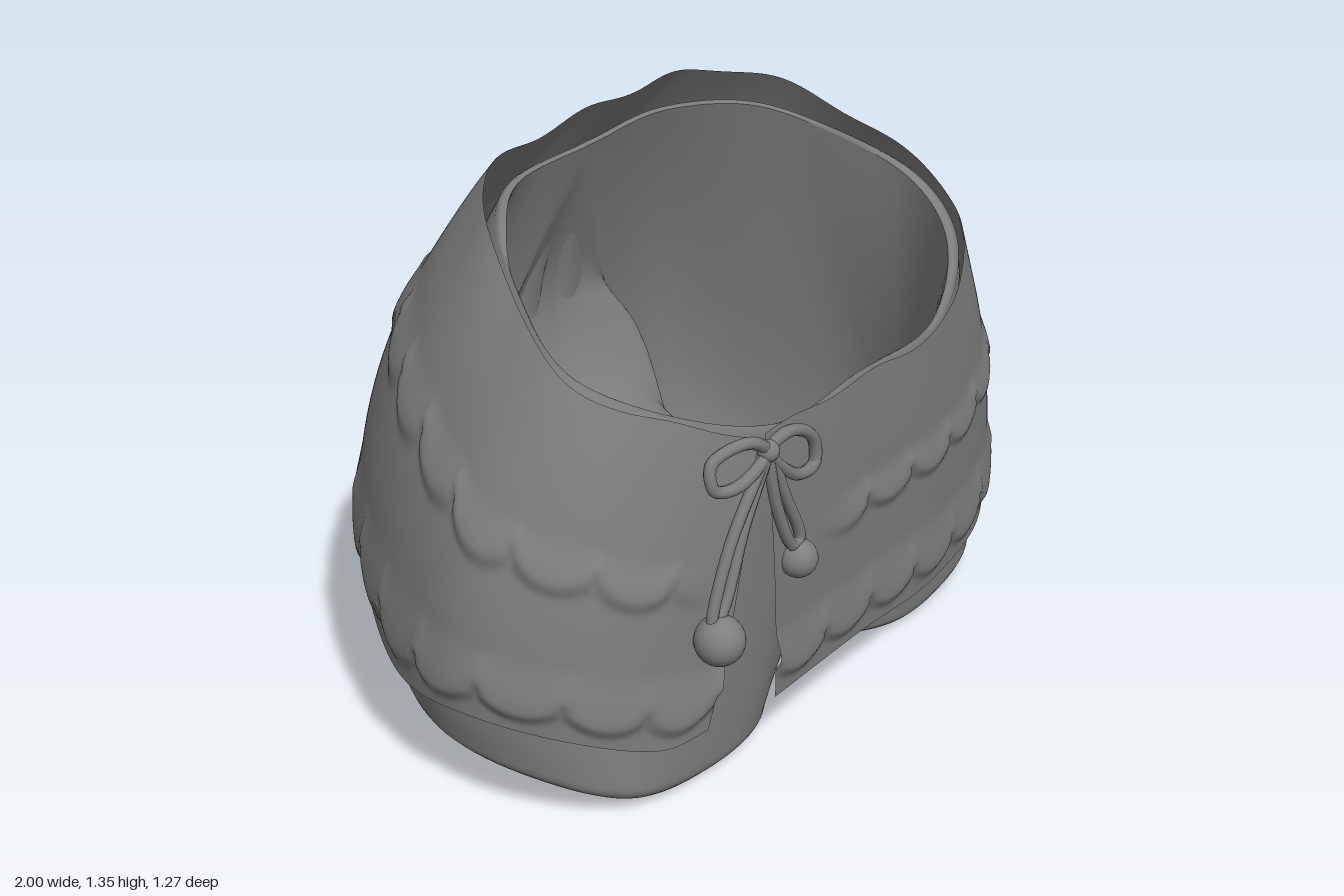
import * as THREE from 'three';

const V = (a) => new THREE.Vector3(...a);
const step = THREE.MathUtils.smoothstep;
const material = new THREE.MeshStandardMaterial({ color: 0x7e7e7e, side: THREE.DoubleSide });

function mesh(geometry, name) {
  const m = new THREE.Mesh(geometry, material);
  m.name = name;
  return m;
}

// Smooth sheet from rows of points; closed joins the last column to the first
function sheet(rows, closed) {
  const n = rows[0].length, index = [];
  for (let j = 0; j < rows.length - 1; j++) {
    for (let i = 0; i < (closed ? n : n - 1); i++) {
      const k = (i + 1) % n, a = j * n, b = a + n;
      index.push(a + i, a + k, b + i, a + k, b + k, b + i);
    }
  }
  const g = new THREE.BufferGeometry().setFromPoints(rows.flat());
  g.setIndex(index);
  g.computeVertexNormals();
  return g;
}

// Quadratic through three points, at t = 0, 0.5 and 1
function through(a, b, c, t) {
  return new THREE.Vector3()
    .addScaledVector(a, 2 * (t - 0.5) * (t - 1))
    .addScaledVector(b, -4 * t * (t - 1))
    .addScaledVector(c, 2 * t * (t - 0.5));
}

// Skirt: hem, middle and rim rings, left half from front centre to back centre
const HEM = [[0, .165, .555], [.38, .15, .55], [.7, .175, .49], [.88, .24, .365], [.98, .285, .14],
  [.915, .265, -.105], [.72, .325, -.375], [.505, .36, -.565], [.3, .37, -.62], [0, .39, -.595]];
const MID = [[0, .53, .575], [.4, .53, .565], [.73, .57, .47], [.87, .62, .35], [.94, .66, .15],
  [.87, .74, -.06], [.71, .81, -.3], [.475, .86, -.485], [.25, .87, -.52], [0, .87, -.505]];
const RIM = [[0, .88, .575], [.33, .875, .565], [.6, .95, .465], [.71, 1.01, .37], [.76, 1.07, .25],
  [.675, 1.205, .05], [.565, 1.295, -.105], [.4, 1.335, -.22], [.2, 1.34, -.24], [0, 1.35, -.24]];

function skirtRing(half, slitStart, slitEnd) {
  const right = half.slice(2, -1).reverse().map(([x, y, z]) => [-x, y, z]);
  const c = new THREE.CatmullRomCurve3([slitStart, ...half, ...right, slitEnd].map(V));
  c.arcLengthDivisions = 400;
  return c;
}

function makeSkirt() {
  const NU = 300, NV = 90;
  const rings = [
    skirtRing(HEM, [-.35, .165, .555], [-.58, .18, .525]),
    skirtRing(MID, [-.385, .53, .57], [-.5, .53, .55]),
    skirtRing(RIM, [-.41, .88, .555], [-.43, .88, .55]),
  ].map((c) => c.getSpacedPoints(NU));
  const rows = [];
  for (let j = 0; j <= NV; j++) {
    const v = j / NV;
    rows.push(rings[0].map((p, i) => {
      const q = through(p, rings[1][i], rings[2][i], v);
      // gently waved rim
      q.y += step(v, .8, 1) * .006 * Math.sin(i / NU * 75);
      return q;
    }));
  }
  const g = sheet(rows, false);

  // Two soft lace bands with rounded scallops along their lower edges
  const pos = g.attributes.position, nor = g.attributes.normal;
  for (let j = 0; j <= NV; j++) {
    for (let i = 0; i <= NU; i++) {
      const v = j / NV, u = i / NU, k = j * (NU + 1) + i;
      const scallop = Math.sqrt(Math.abs(Math.sin(u * Math.PI * 25)));
      const back = (.57 - rings[1][i].z) / 1.07;
      const band = (low, top) => step(v, low, low + .055) * (1 - step(v, low + .05, top));
      const upper = .6 + .12 * back;
      const d = .014 * band(upper - .09 - .075 * scallop, upper + .02) * step(u, .03, .08) * (1 - step(u, .95, .99))
        + .016 * band(.1 - .075 * scallop, .27);
      pos.setXYZ(k, pos.getX(k) + nor.getX(k) * d, pos.getY(k) + nor.getY(k) * d, pos.getZ(k) + nor.getZ(k) * d);
    }
  }
  g.computeVertexNormals();
  return mesh(g, 'skirt');
}

// Shorts: left half rings; the waist ring closes along the centre seam under the crotch
const WAIST = [[0, .87, .56], [.35, .87, .553], [.63, .97, .425], [.73, 1.055, .25], [.635, 1.17, .04], [.505, 1.24, -.125],
  [.3, 1.26, -.245], [0, 1.26, -.255], [0, .75, -.4], [0, .42, -.25], [0, .35, .1], [0, .5, .48]];
const THIGH = [[.17, .44, .515], [.42, .45, .51], [.72, .5, .42], [.89, .55, .25], [.89, .6, 0], [.69, .65, -.26],
  [.45, .7, -.405], [.2, .65, -.4], [.1, .42, -.3], [.06, .3, -.05], [.05, .24, .15], [.07, .25, .43]];
const CUFF = [[.28, .05, .47], [.5, .04, .48], [.75, .07, .43], [.9, .14, .25], [.92, .18, .02], [.76, .19, -.24],
  [.5, .18, -.395], [.28, .16, -.37], [.13, .14, -.22], [.07, .12, -.02], [.07, .08, .17], [.13, .06, .36]];
// Lining: centre seam of the bowl, and the outer part and seam widths of each throat
const SEAM = [[0, .82, -.37], [0, .57, -.26], [0, .46, .06], [0, .54, .38]];
const THROAT = [[.34, .42, .43], [.5, .42, .385], [.66, .46, .34], [.77, .52, .2], [.78, .56, .02], [.63, .62, -.2],
  [.45, .66, -.36], [.27, .62, -.375]];
const SEAM_WIDTH = [.29, .25, .27, .33];

function makeShortsHalf(side) {
  const PER = 8, M = 28;
  const ring = (list) => new THREE.CatmullRomCurve3(list.map(V), true).getPoints(12 * PER).slice(0, -1);
  // waist arc and centre seam meet in corners
  const waistRing = (list) => [[list.slice(0, 8), 7], [[...list.slice(7), list[0]], 5]].flatMap(([part, n]) =>
    new THREE.CatmullRomCurve3(part.map(V)).getPoints(n * PER).slice(0, -1));
  const outer = [waistRing(WAIST), ring(THIGH), ring(CUFF)];
  const cuff = CUFF.map(([x, y, z]) => V([x, y, z]).lerp(V([.49, y + .05, .05]), .16).toArray());
  const waist = WAIST.slice(0, 8).map(([x, y, z]) => [x * .97, y, z - Math.sign(z) * .02]);
  // the throat leaves the seam level, so the bowl is smooth across the middle
  const saddle = SEAM.map(([, y, z], i) => [SEAM_WIDTH[i], y + (cuff[8 + i][1] - y) / 4, z + (cuff[8 + i][2] - z) / 4]);
  const inner = [waistRing([...waist, ...SEAM]), ring([...THROAT, ...saddle]), ring(cuff)];
  const rows = [];
  const loft = (r, t) => r[0].map((p, i) => through(p, r[1][i], r[2][i], t));
  for (let j = 0; j <= M; j++) rows.push(loft(inner, j / M));
  // rolled cuff between the lining and the outside
  for (let j = 1; j < 10; j++) {
    const a = j / 10 * Math.PI;
    rows.push(inner[2].map((p, i) => {
      const q = p.clone().lerp(outer[2][i], (1 - Math.cos(a)) / 2);
      q.y -= Math.sin(a) * .04;
      return q;
    }));
  }
  for (let j = M; j >= 0; j--) rows.push(loft(outer, j / M));
  // soft waist edge
  rows.push(rows[0].map((p, i) => p.clone().lerp(outer[0][i], .5).add(new THREE.Vector3(0, .006, 0))));
  rows.push(rows[0].map((p) => p.clone()));
  rows.forEach((r) => r.forEach((p) => { p.x = Math.max(0, p.x) * side; }));
  const g = sheet(rows, true);

  // normals on the centre seam lie in the centre plane, so both halves blend
  const pos = g.attributes.position, nor = g.attributes.normal;
  for (let k = 0; k < pos.count; k++) if (Math.abs(pos.getX(k)) < 1e-5) nor.setX(k, 0);
  g.normalizeNormals();
  return mesh(g, side > 0 ? 'leftShortsHalf' : 'rightShortsHalf');
}

// Cord loop through a few points
function cord(points, radius, name) {
  const c = new THREE.CatmullRomCurve3(points.map(V), true);
  return mesh(new THREE.TubeGeometry(c, 64, radius, 8, true), name);
}

function ball(x, y, z, r, name) {
  const m = mesh(new THREE.SphereGeometry(r, 28, 20), name);
  m.position.set(x, y, z);
  return m;
}

function makeBow() {
  const bow = new THREE.Group();
  bow.name = 'bow';
  bow.add(
    cord([[-.43, .85, .575], [-.5, .895, .565], [-.59, .87, .535], [-.59, .81, .545], [-.52, .8, .565]], .015, 'rightBowLoop'),
    cord([[-.42, .85, .575], [-.35, .87, .58], [-.26, .82, .585], [-.25, .75, .585], [-.32, .75, .585]], .015, 'leftBowLoop'),
    cord([[-.43, .84, .575], [-.5, .69, .565], [-.58, .5, .56], [-.61, .48, .555], [-.55, .66, .56]], .014, 'rightBowTail'),
    cord([[-.42, .84, .575], [-.36, .71, .58], [-.305, .58, .585], [-.33, .57, .585], [-.395, .7, .58]], .014, 'leftBowTail'),
    ball(-.425, .85, .575, .026, 'knot'),
    ball(-.595, .44, .565, .06, 'rightBobble'),
    ball(-.31, .53, .585, .047, 'leftBobble'),
  );
  return bow;
}

export function createModel() {
  const model = new THREE.Group();
  model.name = 'skirtedShorts';
  model.add(makeSkirt(), makeShortsHalf(1), makeShortsHalf(-1), makeBow());
  return model;
}
